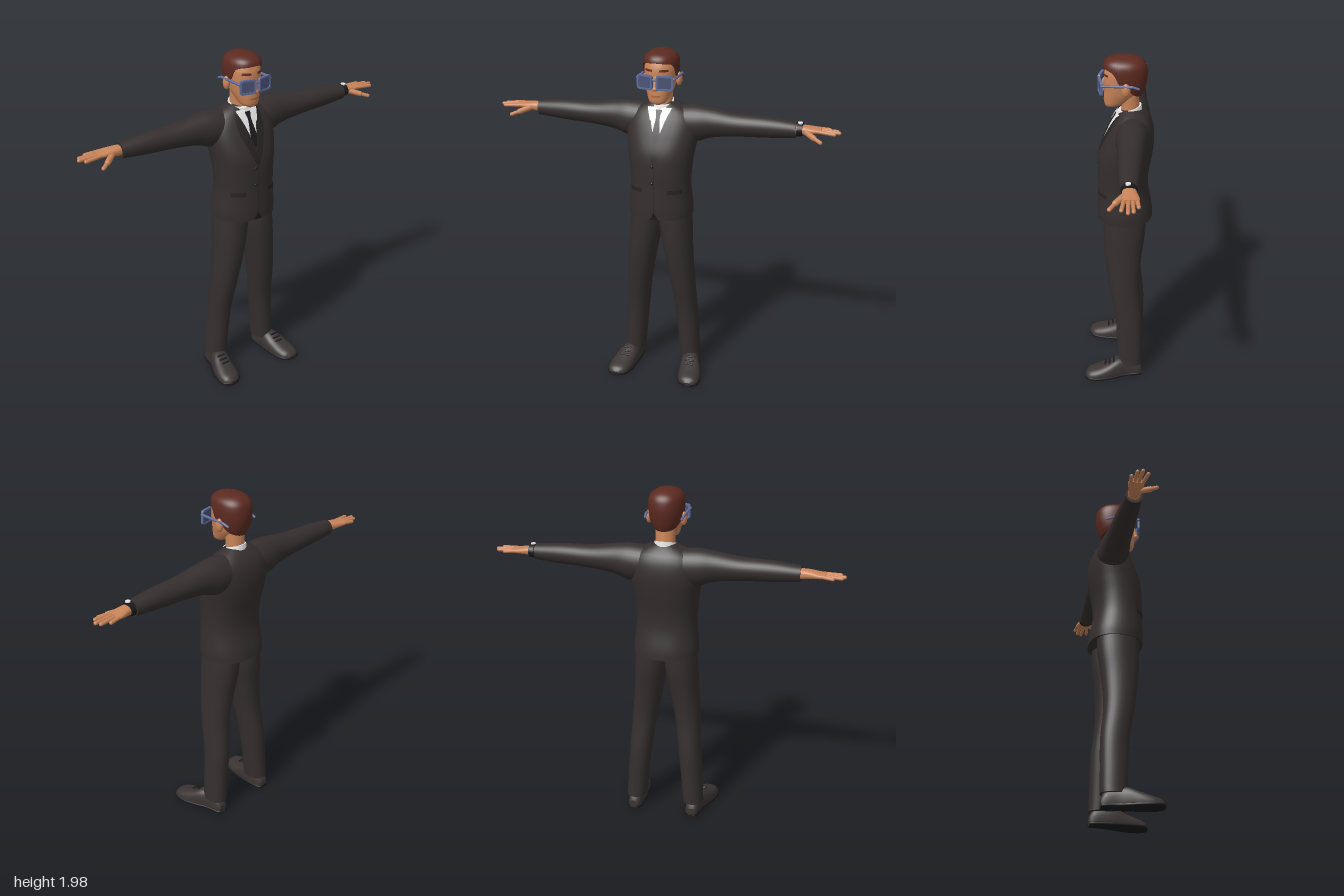
import * as THREE from 'three';

const mat = (name, color) => Object.assign(new THREE.MeshStandardMaterial({ color }), { name });

// Smooth interpolation of rows [t, ...values]
function sample(rows, t) {
  let i = 0;
  while (i < rows.length - 2 && t > rows[i + 1][0]) i++;
  const slope = (k, c) => {
    const p = rows[Math.max(k - 1, 0)], q = rows[Math.min(k + 1, rows.length - 1)];
    return (q[c] - p[c]) / (q[0] - p[0]);
  };
  const a = rows[i], b = rows[i + 1], h = b[0] - a[0];
  const u = Math.min(Math.max((t - a[0]) / h, 0), 1), u2 = u * u, u3 = u2 * u;
  return a.map((v, c) => c === 0 ? t :
    (2 * u3 - 3 * u2 + 1) * v + (u3 - 2 * u2 + u) * h * slope(i, c) +
    (3 * u2 - 2 * u3) * b[c] + (u3 - u2) * h * slope(i + 1, c));
}

function geometry(pos, idx) {
  const g = new THREE.BufferGeometry();
  g.setAttribute('position', new THREE.Float32BufferAttribute(pos, 3));
  g.setIndex(idx);
  g.computeVertexNormals();
  return g;
}

// Rounded cross-sections along an axis. Rows are [t, a0, a1, b0, b1];
// (a, b) is (z, x) for axis y, (x, y) for axis z and (y, z) for axis x.
function loft(axis, rows, { n = 2, seg = 32, steps = 28, lo = null, map = null } = {}) {
  const pos = [], idx = [], first = rows[0][0], last = rows[rows.length - 1][0];
  const put = (t, a, b) => {
    const p = axis === 'y' ? [b, t, a] : axis === 'z' ? [a, b, t] : [t, a, b];
    pos.push(...(map ? map(p) : p));
  };
  const bend = v => Math.sign(v) * Math.abs(v) ** (2 / n);
  const ring = (k, shrink = 1) => {
    for (let j = 0; j < seg; j++) {
      const f = j / seg * Math.PI * 2, c = Math.cos(f), s = Math.sin(f);
      const start = lo ? lo(s) : first, t = start + (last - start) * k;
      const [, a0, a1, b0, b1] = sample(rows, t);
      put(t, (a0 + a1) / 2 + (a1 - a0) / 2 * bend(c) * shrink, (b0 + b1) / 2 + (b1 - b0) / 2 * bend(s) * shrink);
    }
  };
  if (lo) ring(0, 0.8);
  for (let k = 0; k <= steps; k++) ring(k / steps);
  const count = steps + (lo ? 1 : 0);
  for (let k = 0; k < count; k++) for (let j = 0; j < seg; j++) {
    const a = k * seg + j, b = k * seg + (j + 1) % seg;
    idx.push(a, b, a + seg, b, b + seg, a + seg);
  }
  for (const end of lo ? [1] : [0, 1]) {
    const base = pos.length / 3, r = rows[end ? rows.length - 1 : 0];
    ring(end);
    put(r[0], (r[1] + r[2]) / 2, (r[3] + r[4]) / 2);
    for (let j = 0; j < seg; j++) {
      const a = base + j, b = base + (j + 1) % seg;
      idx.push(base + seg, end ? a : b, end ? b : a);
    }
  }
  return geometry(pos, idx);
}

// Symmetric upright section: [y, half width, back x, front x]
const upright = rows => rows.map(([y, w, b, f]) => [y, -w, w, b, f]);

function mirrored(g) {
  const m = g.clone().scale(1, 1, -1), i = m.index.array;
  for (let k = 0; k < i.length; k += 3) [i[k], i[k + 1]] = [i[k + 1], i[k]];
  return m;
}

// Capsule between two points
function limb(a, b, r) {
  const p = new THREE.Vector3(...a), q = new THREE.Vector3(...b), d = q.clone().sub(p);
  const turn = new THREE.Quaternion().setFromUnitVectors(new THREE.Vector3(0, 1, 0), d.clone().normalize());
  const mid = p.add(q).multiplyScalar(0.5);
  return new THREE.CapsuleGeometry(r, d.length(), 5, 12).applyQuaternion(turn).translate(mid.x, mid.y, mid.z);
}

const ball = (x, y, z, rx, ry, rz) => new THREE.SphereGeometry(1, 20, 14).scale(rx, ry, rz).translate(x, y, z);

const TORSO = upright([
  [1.022, 0.184, -0.192, 0.122], [1.07, 0.185, -0.188, 0.123], [1.2, 0.174, -0.165, 0.12], [1.3, 0.178, -0.168, 0.12],
  [1.4, 0.19, -0.185, 0.113], [1.5, 0.205, -0.195, 0.08], [1.58, 0.2, -0.186, 0.045], [1.63, 0.165, -0.165, 0.018],
  [1.66, 0.11, -0.138, -0.002], [1.68, 0.06, -0.115, -0.025]]);
const HEAD = upright([
  [1.688, 0.025, 0.03, 0.07], [1.7, 0.048, -0.01, 0.079], [1.74, 0.067, -0.07, 0.083], [1.78, 0.08, -0.105, 0.081],
  [1.84, 0.088, -0.125, 0.083], [1.9, 0.087, -0.13, 0.076], [1.95, 0.065, -0.1, 0.045], [1.965, 0.03, -0.06, 0]]);

// Thin plate lying on the front of a body: rows [y, z0, z1]
function plate(body, n, rows, lift) {
  const pos = [], idx = [], R = 16, C = 8, y0 = rows[0][0], y1 = rows[rows.length - 1][0];
  for (let k = 0; k <= R; k++) for (let i = 0; i <= C; i++) {
    const [y, z0, z1] = sample(rows, y0 + (y1 - y0) * k / R), z = z0 + (z1 - z0) * i / C;
    const [, , w, b, f] = sample(body, y);
    const e = Math.max(0, 1 - Math.abs(z / w) ** n) ** (1 / n);
    pos.push((b + f) / 2 + (f - b) / 2 * e + lift, y, z);
    if (k < R && i < C) {
      const a = k * (C + 1) + i, c = a + C + 1;
      idx.push(a, c, a + 1, a + 1, c, c + 1);
    }
  }
  return geometry(pos, idx);
}

export function createModel() {
  const model = new THREE.Group();
  const suit = mat('suit', 0x352e2e), trim = mat('suitTrim', 0x292323), shoe = mat('shoeLeather', 0x3b3433);
  const black = mat('black', 0x1b191b), white = mat('shirtWhite', 0xe6e6e4), skin = mat('skin', 0xc98459);
  const lip = mat('lips', 0xa9653f), brown = mat('hairBrown', 0x5c2a20);
  const rim = mat('glassesFrame', 0x626d9a), glass = mat('lens', 0x4a5474);
  const add = (name, g, m) => {
    const mesh = new THREE.Mesh(g, m);
    mesh.name = name;
    model.add(mesh);
  };
  const pair = (name, g, m) => { add(name + 'A', g, m); add(name + 'B', mirrored(g), m); };

  // Jacket
  add('jacket', loft('y', TORSO, { n: 2.3, seg: 48, steps: 40 }), suit);
  pair('sleeve', loft('z', [
    [0.08, -0.17, 0.015, 1.45, 1.658], [0.2, -0.167, 0.012, 1.455, 1.664], [0.28, -0.155, 0, 1.483, 1.655],
    [0.42, -0.145, -0.01, 1.502, 1.636], [0.6, -0.135, -0.02, 1.512, 1.629], [0.755, -0.126, -0.032, 1.525, 1.615]]), suit);
  const onTorso = (rows, lift) => plate(TORSO, 2.3, rows, lift);
  add('shirtFront', onTorso([[1.46, -0.002, 0.002], [1.655, -0.062, 0.062]], 0.003), white);
  add('tie', onTorso([[1.46, -0.003, 0.003], [1.52, -0.02, 0.02], [1.61, -0.011, 0.011], [1.645, -0.02, 0.02]], 0.008), black);
  pair('lapel', onTorso([[1.36, 0, 0.008], [1.46, 0.002, 0.052], [1.56, 0.033, 0.085], [1.655, 0.062, 0.085]], 0.006), trim);
  pair('pocketFlap', onTorso([[1.18, 0.075, 0.15], [1.205, 0.075, 0.15]], 0.004), trim);
  add('frontSeam', onTorso([[1.07, -0.002, 0.002], [1.36, -0.002, 0.002]], 0.002), trim);
  add('hemNotch', onTorso([[1.023, -0.025, 0.025], [1.07, -0.001, 0.001]], 0.002), black);
  for (const y of [1.24, 1.34]) add('button', ball(sample(TORSO, y)[4], y, 0.012, 0.006, 0.008, 0.008), black);

  // Trousers
  pair('trouserLeg', loft('y', [
    [0.08, 0.115, 0.235, -0.148, 0], [0.2, 0.105, 0.228, -0.146, 0.005], [0.4, 0.085, 0.215, -0.143, 0.017],
    [0.6, 0.058, 0.203, -0.124, 0.053], [0.8, 0.022, 0.189, -0.135, 0.079], [0.93, -0.002, 0.183, -0.152, 0.085],
    [1.08, -0.01, 0.172, -0.155, 0.083]], { n: 2.2 }), suit);

  // Shoes, toes turned slightly out
  const shoeRows = [
    [-0.145, 0, 0.05, 0.155, 0.205], [-0.13, -0.03, 0.085, 0.142, 0.215], [-0.05, -0.03, 0.115, 0.137, 0.23],
    [0, -0.03, 0.115, 0.137, 0.25], [0.06, -0.03, 0.088, 0.142, 0.272], [0.12, -0.03, 0.066, 0.15, 0.283],
    [0.165, -0.03, 0.052, 0.165, 0.278], [0.187, -0.02, 0.038, 0.185, 0.263], [0.193, 0, 0.026, 0.205, 0.245]];
  pair('shoe', loft('x', shoeRows, { n: 2.4, map: ([x, y, z]) => [x, Math.max(y, 0.004), z] }), shoe);
  pair('sole', loft('x', shoeRows.map(([x, , , a, b]) => [x, 0, 0.02, a - 0.004, b + 0.004]), { n: 4 }), black);
  for (const [x, y] of [[0.025, 0.106], [0.05, 0.094], [0.075, 0.083]])
    pair('lace', limb([x, y, 0.18], [x, y, 0.225], 0.005), black);

  // Hands
  pair('palm', loft('z', [
    [0.74, -0.112, -0.048, 1.54, 1.6], [0.8, -0.12, -0.045, 1.55, 1.598], [0.86, -0.134, -0.046, 1.559, 1.59],
    [0.89, -0.13, -0.05, 1.562, 1.588]], { n: 2.4 }), skin);
  for (const [x0, x1, z] of [[-0.122, -0.13, 0.93], [-0.101, -0.107, 0.975], [-0.08, -0.081, 0.988], [-0.058, -0.048, 0.965]])
    pair('finger', limb([x0, 1.575, 0.87], [x1, 1.57, z], 0.0105), skin);
  pair('thumbBase', limb([-0.065, 1.57, 0.8], [-0.015, 1.55, 0.86], 0.016), skin);
  pair('thumbTip', limb([-0.015, 1.55, 0.86], [0.012, 1.537, 0.9], 0.011), skin);
  add('watchStrap', loft('z', [[-0.79, -0.124, -0.04, 1.538, 1.61], [-0.76, -0.124, -0.036, 1.532, 1.612]]), black);
  add('watchFace', new THREE.CylinderGeometry(0.014, 0.014, 0.008, 20).translate(-0.075, 1.612, -0.775), white);

  // Neck and shirt collar
  add('neck', loft('y', upright([[1.62, 0.056, -0.115, 0], [1.69, 0.054, -0.112, -0.012], [1.78, 0.056, -0.105, 0]])), skin);
  add('collar', loft('y', upright([[1.63, 0.076, -0.13, 0.022], [1.682, 0.061, -0.122, 0.006]]),
    { map: ([x, y, z]) => [x, y - 0.28 * (x + 0.06), z] }), white);
  pair('collarPoint', onTorso([[1.59, 0.038, 0.044], [1.655, 0.012, 0.07]], 0.0095), white);

  // Head
  add('head', loft('y', HEAD, { n: 2.2, steps: 36 }), skin);
  const hairline = [[-1, 1.755], [-0.5, 1.775], [-0.05, 1.825], [0.2, 1.84], [0.45, 1.9], [1, 1.922]];
  add('hair', loft('y', upright([
    [1.75, 0.064, -0.122, 0.07], [1.8, 0.087, -0.142, 0.082], [1.86, 0.097, -0.154, 0.088], [1.92, 0.096, -0.15, 0.088],
    [1.95, 0.083, -0.133, 0.075], [1.97, 0.052, -0.1, 0.04], [1.978, 0.015, -0.06, -0.01]]),
  { n: 2.2, seg: 48, lo: s => sample(hairline, s)[1] }), brown);
  pair('ear', ball(-0.04, 1.815, 0.098, 0.024, 0.038, 0.018), skin);
  add('noseBridge', limb([0.08, 1.84, 0], [0.094, 1.79, 0], 0.011), skin);
  add('noseTip', ball(0.094, 1.783, 0, 0.017, 0.014, 0.018), skin);
  add('mouth', plate(HEAD, 2.2, [[1.733, -0.024, 0.024], [1.742, -0.024, 0.024]], 0.003), lip);
  pair('eyebrow', plate(HEAD, 2.2, [[1.874, 0.018, 0.066], [1.886, 0.022, 0.064]], 0.004), brown);

  // Glasses
  const outline = (path, w, h, r) => {
    const c = [[-w, -h], [w, -h], [w, h], [-w, h]];
    path.moveTo(-w + r, -h);
    for (let i = 1; i <= 4; i++) {
      const [x, y] = c[i % 4], [nx, ny] = c[(i + 1) % 4];
      path.lineTo(x - r * Math.sign(x - c[i - 1][0]), y - r * Math.sign(y - c[i - 1][1]));
      path.quadraticCurveTo(x, y, x + r * Math.sign(nx - x), y + r * Math.sign(ny - y));
    }
    return path;
  };
  const place = (g, x) => {
    if (!g.index) g.setIndex([...Array(g.attributes.position.count).keys()]);
    return g.rotateY(Math.PI / 2 - 0.22).translate(x, 1.82, 0.054);
  };
  const frame = outline(new THREE.Shape(), 0.047, 0.041, 0.016);
  frame.holes.push(outline(new THREE.Path(), 0.037, 0.031, 0.012));
  pair('lensFrame', place(new THREE.ExtrudeGeometry(frame, { depth: 0.014, bevelEnabled: false }), 0.093), rim);
  pair('lens', place(new THREE.ExtrudeGeometry(outline(new THREE.Shape(), 0.038, 0.032, 0.012),
    { depth: 0.006, bevelEnabled: false }), 0.096), glass);
  add('bridge', limb([0.108, 1.836, -0.012], [0.108, 1.836, 0.012], 0.006), rim);
  pair('temple', limb([0.088, 1.84, 0.103], [-0.075, 1.838, 0.106], 0.0075), rim);
  pair('templeTip', limb([-0.075, 1.838, 0.106], [-0.108, 1.826, 0.102], 0.007), rim);
  return model;
}
